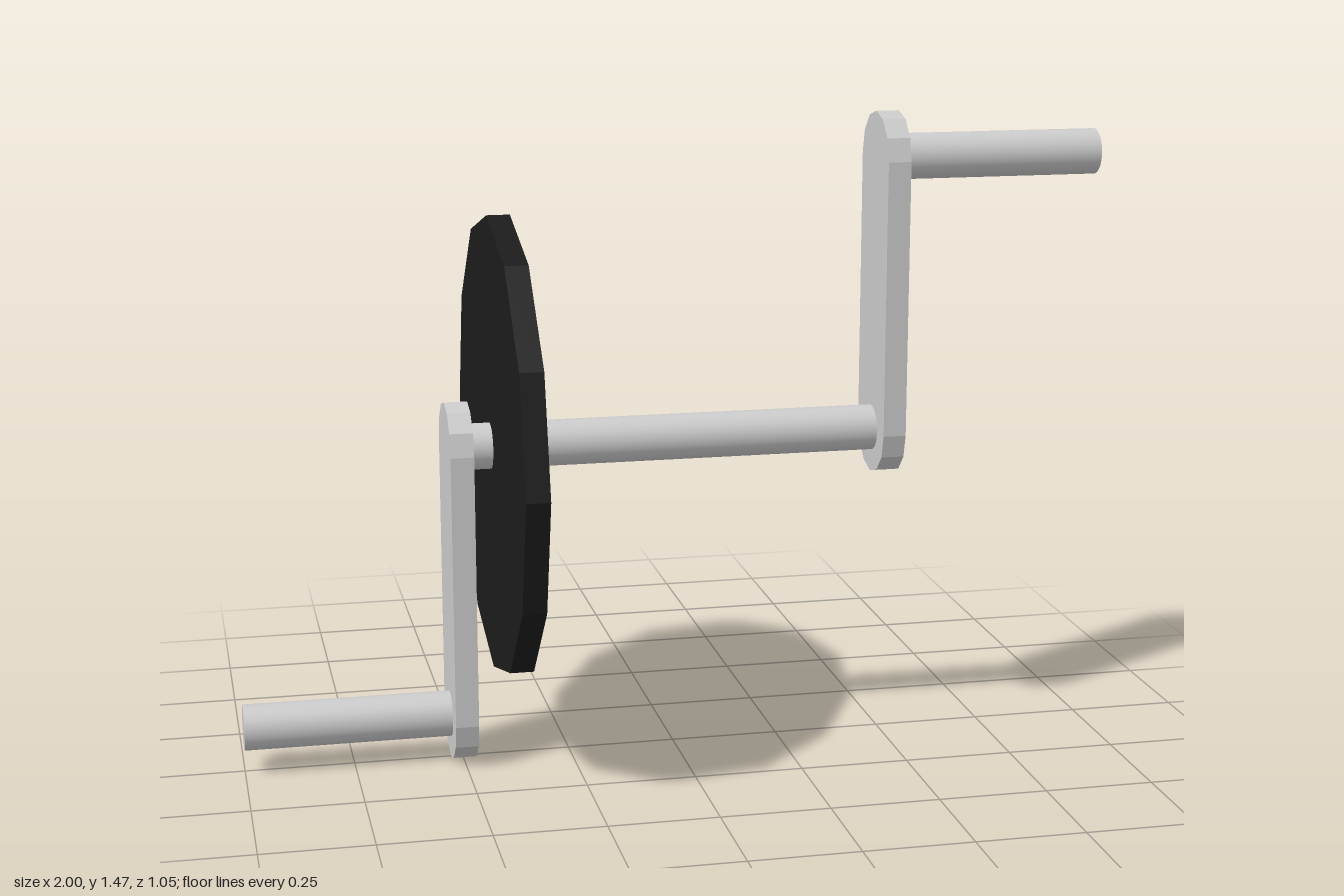
import * as THREE from 'three';

const AXLE_Y = 0.737;   // height of the main axle
const THROW = 0.632;    // distance from axle to pedal spindle
const ARM_X = 0.5;      // arm position to either side
const ARM_R = 0.105;    // half width of an arm
const ARM_T = 0.053;    // arm and disc thickness
const ROD_R = 0.0525;   // rod radius

const grey = new THREE.MeshStandardMaterial({ color: 0xcccccc });
const black = new THREE.MeshStandardMaterial({ color: 0x1c1c1c, flatShading: true });

// Cylinder lying along x between two points
function bar(name, x0, x1, y, radius, sides, material) {
  const geometry = new THREE.CylinderGeometry(radius, radius, x1 - x0, sides);
  geometry.rotateZ(Math.PI / 2);
  const mesh = new THREE.Mesh(geometry, material);
  mesh.name = name;
  mesh.position.set((x0 + x1) / 2, y, 0);
  return mesh;
}

// Flat arm with faceted round ends, reaching up from its lower centre
function arm(name, x, y) {
  const shape = new THREE.Shape();
  shape.absarc(0, THROW, ARM_R, 0, Math.PI);
  shape.absarc(0, 0, ARM_R, Math.PI, Math.PI * 2);
  shape.closePath();
  const geometry = new THREE.ExtrudeGeometry(shape, { depth: ARM_T, bevelEnabled: false, curveSegments: 3 });
  geometry.translate(0, 0, -ARM_T / 2);
  geometry.rotateY(Math.PI / 2);
  const mesh = new THREE.Mesh(geometry, grey);
  mesh.name = name;
  mesh.position.set(x, y, 0);
  return mesh;
}

export function createModel() {
  const model = new THREE.Group();
  model.name = 'crankset';
  const inner = ARM_X - ARM_T / 2;
  const outer = ARM_X + ARM_T / 2;

  // Main axle and the twelve-sided disc on it
  model.add(bar('axle', -inner, inner, AXLE_Y, ROD_R, 32, grey));
  model.add(bar('chainDisc', -0.423, -0.37, AXLE_Y, 0.526, 12, black));

  // Left arm points up, right arm points down
  model.add(arm('leftArm', ARM_X, AXLE_Y));
  model.add(arm('rightArm', -ARM_X, AXLE_Y - THROW));

  // Pedal spindles
  model.add(bar('leftPedal', outer, 1, AXLE_Y + THROW, ROD_R, 32, grey));
  model.add(bar('rightPedal', -1, -outer, AXLE_Y - THROW, ROD_R, 32, grey));
  return model;
}
